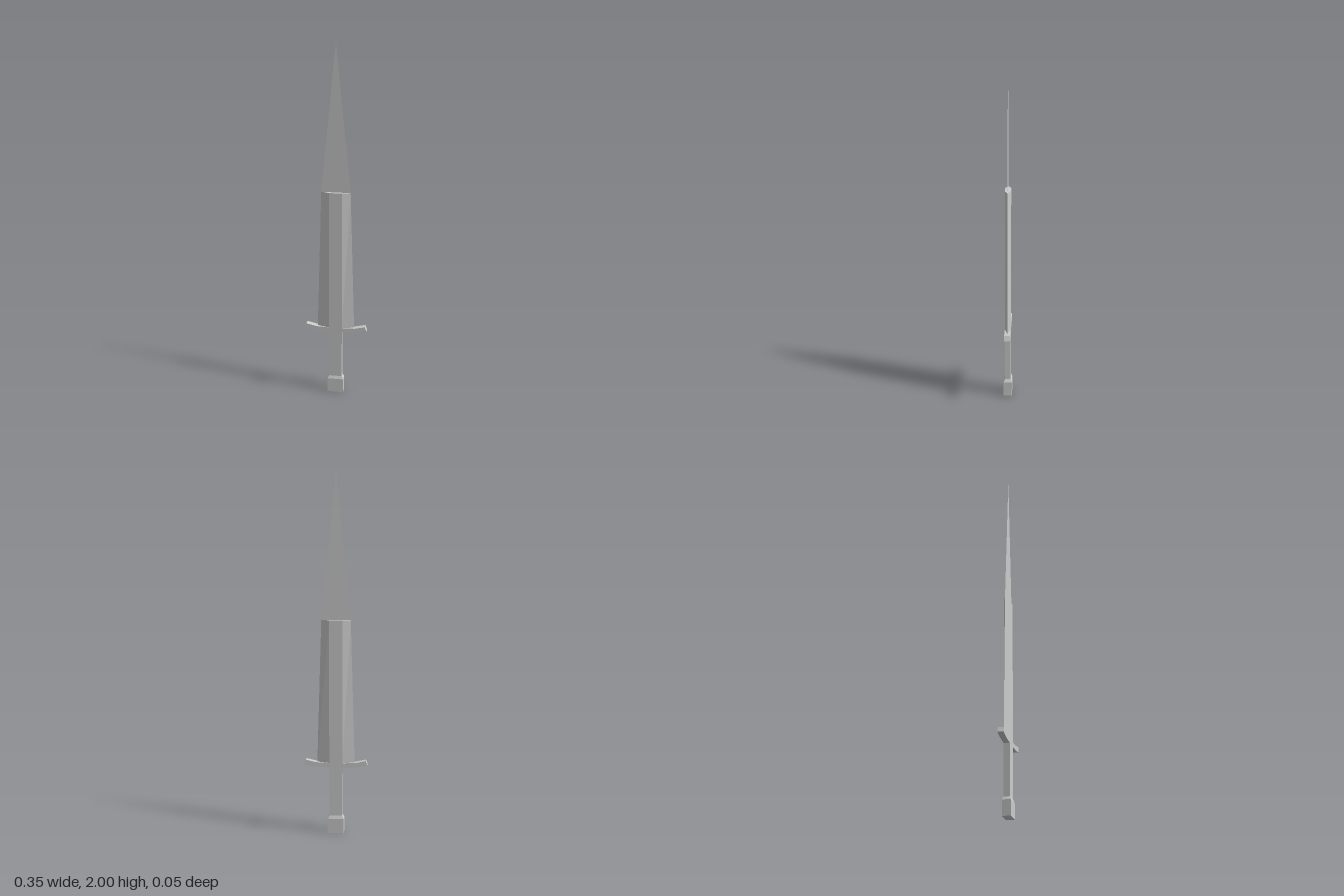
import * as THREE from 'three';

const material = new THREE.MeshStandardMaterial({ color: 0xcccccc, flatShading: true });
const tipMaterial = new THREE.MeshStandardMaterial({ color: 0xcccccc, side: THREE.DoubleSide });

// Joins equal-sized [x, z] rings at rising heights and caps both ends.
function loft(levels) {
  const n = levels[0].ring.length;
  const positions = levels.flatMap(({ y, ring }) => ring.flatMap(([x, z]) => [x, y, z]));
  const index = [];
  for (let l = 0; l < levels.length - 1; l++) {
    for (let i = 0; i < n; i++) {
      const a = l * n + i, b = l * n + (i + 1) % n;
      index.push(a, b, b + n, a, b + n, a + n);
    }
  }
  const last = (levels.length - 1) * n;
  for (let i = 1; i < n - 1; i++) {
    index.push(0, i + 1, i, last, last + i, last + i + 1);
  }
  const geometry = new THREE.BufferGeometry();
  geometry.setAttribute('position', new THREE.Float32BufferAttribute(positions, 3));
  geometry.setIndex(index);
  const flat = geometry.toNonIndexed();
  flat.computeVertexNormals();
  return flat;
}

// Half width and half depth of the grip and of the blade's flat centre
const FLAT = 0.036, THICK = 0.016;
const rect = (w, d) => [[-w, d], [w, d], [w, -d], [-w, -d]];
const lens = (w) => [[-w, 0], [-FLAT, THICK], [FLAT, THICK], [w, 0], [FLAT, -THICK], [-FLAT, -THICK]];

// One side of the tip: a flat triangle plus the ledge over the blade,
// sharing one normal so both shade as one face.
function tipSide(side) {
  const p = [[0, 2, 0], [-0.08, 1.2, 0], [-FLAT, 1.2, THICK * side],
    [FLAT, 1.2, THICK * side], [0.08, 1.2, 0]];
  const geometry = new THREE.BufferGeometry();
  geometry.setAttribute('position', new THREE.Float32BufferAttribute(p.flat(), 3));
  geometry.setAttribute('normal', new THREE.Float32BufferAttribute(p.flatMap(() => [0, 0, side]), 3));
  const faces = [0, 1, 4, 1, 2, 3, 1, 3, 4];
  geometry.setIndex(side > 0 ? faces : faces.reverse());
  return geometry;
}

// One upswept arm of the crossguard, starting flush with the grip
function guardArm(side) {
  const outline = [[FLAT, 0.379], [0.115, 0.381], [0.176, 0.393],
    [0.166, 0.42], [0.11, 0.407], [FLAT, 0.404]];
  const shape = new THREE.Shape(outline.map(([x, y]) => new THREE.Vector2(x * side, y)));
  return new THREE.ExtrudeGeometry(shape, { depth: 2 * THICK, bevelEnabled: false })
    .translate(0, 0, -THICK);
}

export function createModel() {
  const group = new THREE.Group();
  const add = (name, geometry, mat = material) => {
    const mesh = new THREE.Mesh(geometry, mat);
    mesh.name = name;
    group.add(mesh);
  };

  // Pommel with a bevelled shoulder, and the grip
  add('pommel', loft([
    { y: 0, ring: rect(0.045, 0.023) },
    { y: 0.083, ring: rect(0.045, 0.023) },
    { y: 0.1, ring: rect(FLAT, THICK) },
  ]));
  add('grip', loft([
    { y: 0.1, ring: rect(FLAT, THICK) },
    { y: 0.395, ring: rect(FLAT, THICK) },
  ]));

  // Lower blade with a flat centre and tapering edges
  add('blade', loft([
    { y: 0.395, ring: lens(0.104) },
    { y: 1.2, ring: lens(0.08) },
  ].map((level) => level)));

  // Mirrored guard arms and thin tip faces
  for (const side of [1, -1]) {
    add(side > 0 ? 'leftGuardArm' : 'rightGuardArm', guardArm(side));
    add(side > 0 ? 'tipFront' : 'tipBack', tipSide(side), tipMaterial);
  }

  return group;
}
